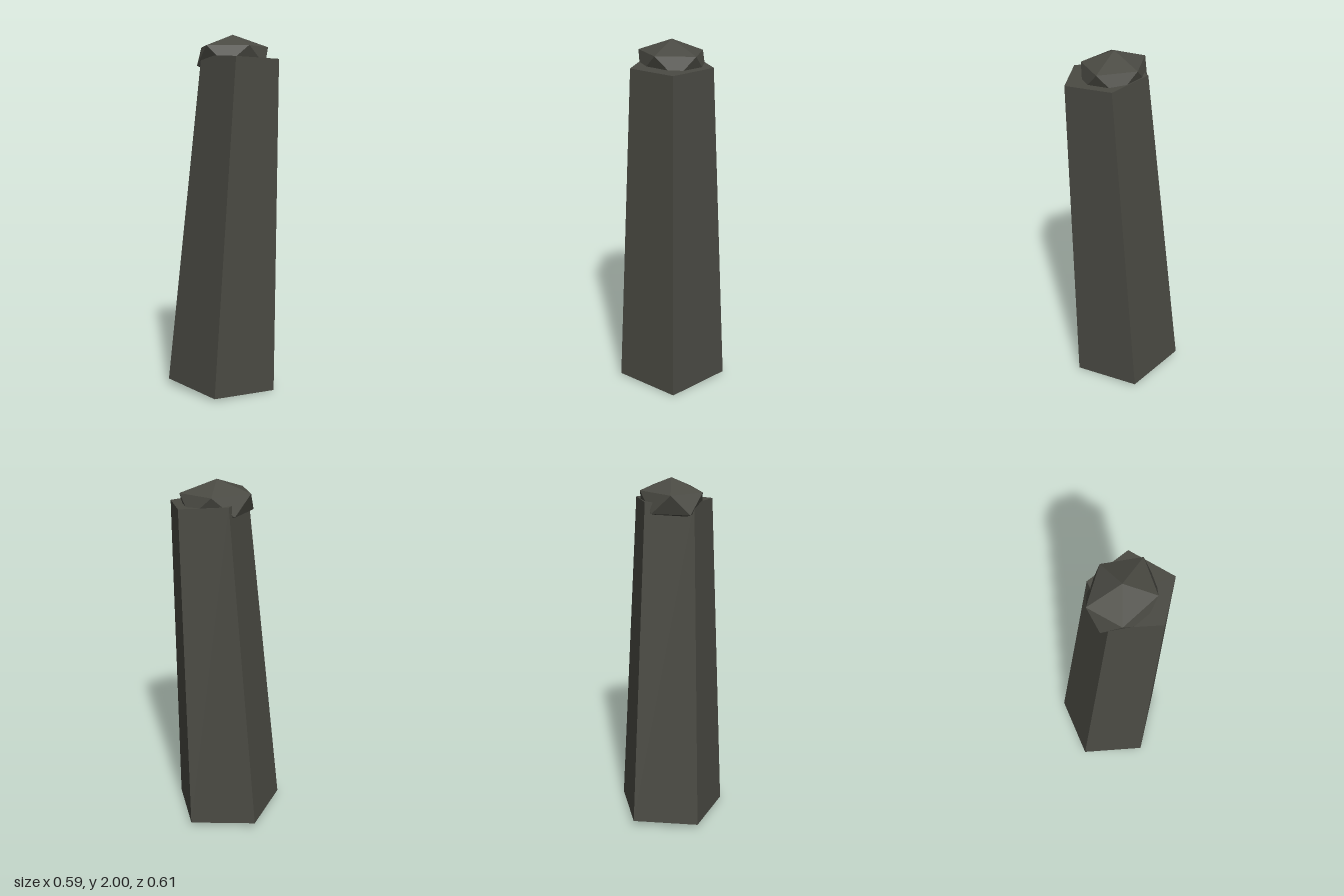
import * as THREE from 'three';
import { ConvexGeometry } from 'three/addons/geometries/ConvexGeometry.js';

export function createModel() {
  const model = new THREE.Group();
  model.name = 'stonePillar';
  const stone = new THREE.MeshStandardMaterial({ color: 0x4a4a43 });
  stone.name = 'darkStone';

  // Leaning five-sided column, tapering from base to top
  const base = new THREE.Vector3(0.024, 0.022, 0.001);
  const top = new THREE.Vector3(0.112, 1.876, 0.072);
  const axis = top.clone().sub(base);
  const shaft = new THREE.CylinderGeometry(0.223, 0.322, axis.length(), 5, 1, false, -Math.PI / 2)
    .toNonIndexed();
  shaft.computeVertexNormals();
  const column = new THREE.Mesh(shaft, stone);
  column.name = 'column';
  column.position.copy(base).add(top).multiplyScalar(0.5);
  column.quaternion.setFromUnitVectors(new THREE.Vector3(0, 1, 0), axis.normalize());
  model.add(column);

  // Flattened twenty-sided boulder, point up, sunk into the column top
  const points = [new THREE.Vector3(0, 1, 0), new THREE.Vector3(0, -1, 0)];
  const height = 1 / Math.sqrt(5);
  for (let i = 0; i < 10; i++) {
    const a = i * Math.PI / 5;
    points.push(new THREE.Vector3(2 * height * Math.cos(a), i % 2 ? -height : height, 2 * height * Math.sin(a)));
  }
  const boulder = new ConvexGeometry(points);
  boulder.scale(0.223, 0.118, 0.186);
  const cap = new THREE.Mesh(boulder, stone);
  cap.name = 'capStone';
  cap.position.set(0.069, 1.882, 0.037);
  model.add(cap);

  return model;
}
